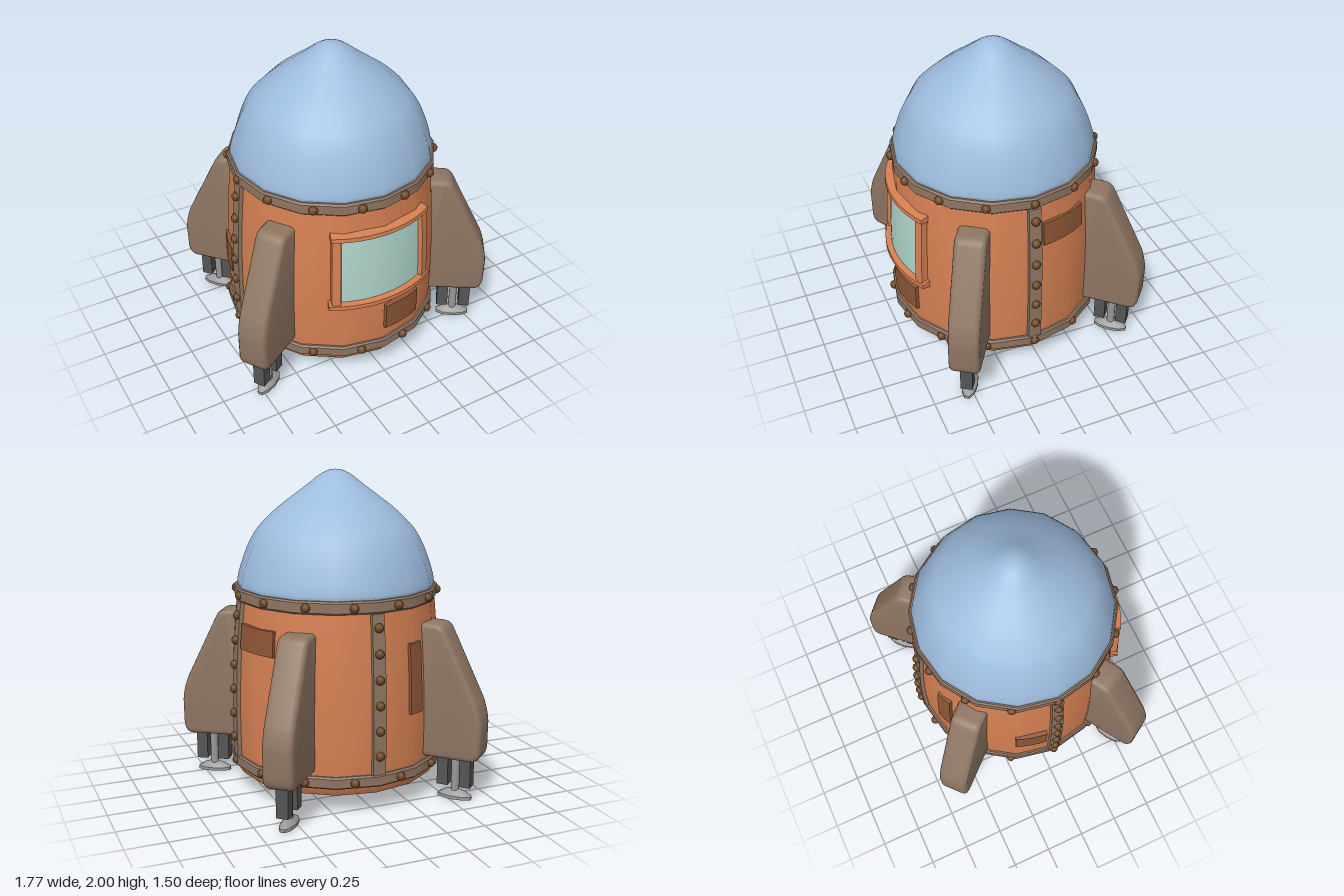
import * as THREE from 'three';
import { toCreasedNormals } from 'three/addons/utils/BufferGeometryUtils.js';

const mat = (color) => new THREE.MeshStandardMaterial({ color });
const V2 = (x, y) => new THREE.Vector2(x, y);
const SIDES = 16;

// Hull radius at a given height: a gentle barrel that narrows upwards
const hullRadius = (y) => 0.662 - 0.042 * ((y - 0.45) / 0.77) ** 2;

export function createModel() {
  const model = new THREE.Group();
  model.name = 'rocketCapsule';
  const ship = new THREE.Group();
  ship.name = 'ship';
  ship.position.z = 0.055;
  model.add(ship);

  const orange = mat(0xd58052);
  const blue = mat(0x9dbcdd);
  const brown = mat(0x8f7663);
  const rivetMat = mat(0x6e4826);
  const panelMat = mat(0x8e5636);
  const glassMat = mat(0xb0d6cc);
  const darkGrey = mat(0x555555);
  const lightGrey = mat(0x9a9a9a);
  const soot = mat(0x54463a);

  const add = (name, geometry, material, parent = ship) => {
    const mesh = new THREE.Mesh(geometry, material);
    mesh.name = name;
    parent.add(mesh);
    return mesh;
  };
  const lathe = (name, points, material, sides = SIDES, parent = ship) =>
    add(name, toCreasedNormals(
      new THREE.LatheGeometry(points.map(([x, y]) => V2(x, y)), sides), 0.6), material, parent);

  // Box wrapped round the hull, with a bevelled outer face; angle 0 is the front
  const wrapped = (name, angle, y, w, h, raise, material, bevel = 0.01) => {
    const g = new THREE.BoxGeometry(w, h, 1, Math.max(1, Math.ceil(w / 0.06)), Math.max(1, Math.ceil(h / 0.1)), 1);
    const p = g.attributes.position;
    for (let i = 0; i < p.count; i++) {
      const outer = p.getZ(i) > 0;
      const px = p.getX(i) * (outer ? 1 - (2 * bevel) / w : 1);
      const py = y + p.getY(i) * (outer ? 1 - (2 * bevel) / h : 1);
      const a = angle + px / 0.65;
      const r = hullRadius(py) + (outer ? raise : -0.03);
      p.setXYZ(i, Math.sin(a) * r, py, Math.cos(a) * r);
    }
    g.computeVertexNormals();
    return add(name, g, material);
  };

  // Hull with rounded lower edge
  const hull = [[0, 0.11], [0.58, 0.11], [0.63, 0.125], [0.65, 0.16]];
  for (let i = 0; i <= 10; i++) {
    const y = 0.2 + i * 0.105;
    hull.push([hullRadius(y), y]);
  }
  hull.push([0, 1.25]);
  lathe('hull', hull, orange);

  // Nose dome
  const domeCurve = new THREE.SplineCurve([
    [0.618, 1.3], [0.605, 1.37], [0.557, 1.51], [0.5, 1.62], [0.44, 1.69], [0.355, 1.77],
    [0.25, 1.85], [0.17, 1.91], [0.1, 1.965], [0.045, 1.993], [0, 2],
  ].map(([x, y]) => V2(x, y)));
  add('noseDome', new THREE.LatheGeometry([V2(0, 1.3), V2(0.61, 1.295), ...domeCurve.getPoints(24)
    .map((q) => V2(Math.max(0, q.x), q.y))], SIDES), blue);

  // Horizontal bands
  const band = (name, r, y0, y1) => lathe(name, [
    [r - 0.06, y0], [r - 0.01, y0], [r, y0 + 0.01], [r, y1 - 0.01], [r - 0.01, y1], [r - 0.06, y1],
  ], brown);
  band('upperBand', 0.637, 1.22, 1.298);
  band('lowerBand', 0.68, 0.178, 0.252);

  // Rivets
  const rivetGeo = new THREE.SphereGeometry(0.028, 10, 8);
  const rivet = (angle, r, y) =>
    add('rivet', rivetGeo, rivetMat).position.set(Math.sin(angle) * r, y, Math.cos(angle) * r);
  for (let i = 0; i < 14; i++) {
    const a = ((i + 0.5) / 14) * Math.PI * 2;
    rivet(a, 0.63, 1.258);
    rivet(a, 0.672, 0.215);
  }

  // Vertical straps on both sides and the back
  for (const a of [Math.PI / 2, Math.PI, -Math.PI / 2]) {
    wrapped('verticalStrap', a, 0.735, 0.09, 0.98, 0.017, brown, 0.006);
    for (let i = 0; i < 6; i++) rivet(a, hullRadius(1.14 - i * 0.154) + 0.018, 1.14 - i * 0.154);
  }

  // Front window
  wrapped('windowGlass', 0, 0.835, 0.56, 0.46, 0.006, glassMat, 0.001);
  wrapped('windowFrameBottom', 0, 0.595, 0.71, 0.052, 0.042, orange, 0.012);
  wrapped('windowFrameTop', 0, 1.077, 0.69, 0.05, 0.04, orange, 0.012);
  for (const s of [-1, 1]) wrapped('windowFrameSide', s * 0.465, 0.835, 0.075, 0.48, 0.032, orange, 0.012);

  // Patch panels
  wrapped('frontPatch', 0.2, 0.432, 0.27, 0.195, 0.02, panelMat);
  wrapped('sidePatch', Math.PI / 2 + 0.33, 1.022, 0.32, 0.16, 0.008, panelMat, 0.003);
  wrapped('tallBackPatch', Math.PI + 0.42, 0.8, 0.11, 0.44, 0.012, panelMat, 0.005);
  wrapped('squareBackPatch', Math.PI + 1.32, 0.62, 0.21, 0.19, 0.015, panelMat, 0.006);

  // Fins with landing legs, local x pointing outwards
  const finShape = new THREE.Shape();
  finShape.moveTo(0.57, 0.27);
  finShape.lineTo(0.94, 0.27);
  finShape.quadraticCurveTo(0.99, 0.275, 0.998, 0.34);
  finShape.lineTo(1.0, 0.5);
  finShape.quadraticCurveTo(0.995, 0.57, 0.965, 0.65);
  finShape.lineTo(0.76, 1.07);
  finShape.quadraticCurveTo(0.74, 1.11, 0.69, 1.11);
  finShape.lineTo(0.5, 1.11);
  finShape.closePath();
  const finGeo = toCreasedNormals(new THREE.ExtrudeGeometry(finShape, {
    depth: 0.13, bevelEnabled: true, bevelSize: 0.03, bevelThickness: 0.03,
    bevelOffset: -0.03, bevelSegments: 3, curveSegments: 6,
  }).translate(0, 0, -0.065), 0.6);

  for (const deg of [-32.5, -147.5, 48, 132]) {
    const unit = new THREE.Group();
    unit.name = 'finWithLeg';
    unit.rotation.y = THREE.MathUtils.degToRad(deg);
    ship.add(unit);
    add('fin', finGeo, brown, unit);
    const leg = new THREE.Group();
    leg.name = 'landingLeg';
    leg.position.x = 0.82;
    unit.add(leg);
    for (const s of [-1, 1]) {
      add('legBlock', new THREE.BoxGeometry(0.07, 0.2, 0.075), darkGrey, leg).position.set(s * 0.072, 0.185, 0);
    }
    add('legPiston', new THREE.CylinderGeometry(0.025, 0.025, 0.24, 10), lightGrey, leg).position.y = 0.16;
    const foot = lathe('foot', [[0, 0], [0.112, 0], [0.112, 0.02], [0.07, 0.045], [0.03, 0.058], [0, 0.058]],
      lightGrey, 10, leg);
    foot.scale.z = 0.42;
  }

  // Underside: central hatch and a ring of alternating nozzles
  lathe('hatchRing', [[0.2, 0.12], [0.2, 0.095], [0.215, 0.085], [0.24, 0.085], [0.255, 0.12]].reverse()
    .map(([x, y]) => [x, y]).reverse(), brown, 24);
  add('hatch', new THREE.CylinderGeometry(0.205, 0.205, 0.02, 24), soot).position.y = 0.112;
  for (let i = 0; i < 8; i++) {
    const big = i % 2 === 1;
    const r = big ? 0.09 : 0.052;
    const a = (i * Math.PI) / 4;
    const nozzle = new THREE.Group();
    nozzle.name = big ? 'largeNozzle' : 'smallNozzle';
    nozzle.position.set(Math.sin(a) * 0.42, 0, Math.cos(a) * 0.42);
    ship.add(nozzle);
    lathe('nozzleRim', [[r * 0.65, 0.12], [r * 0.7, 0.085], [r * 0.88, 0.085], [r, 0.12]], lightGrey, 8, nozzle);
    add('nozzleCore', new THREE.CylinderGeometry(r * 0.7, r * 0.7, 0.02, 8), lightGrey, nozzle).position.y = 0.11;
  }
  return model;
}
